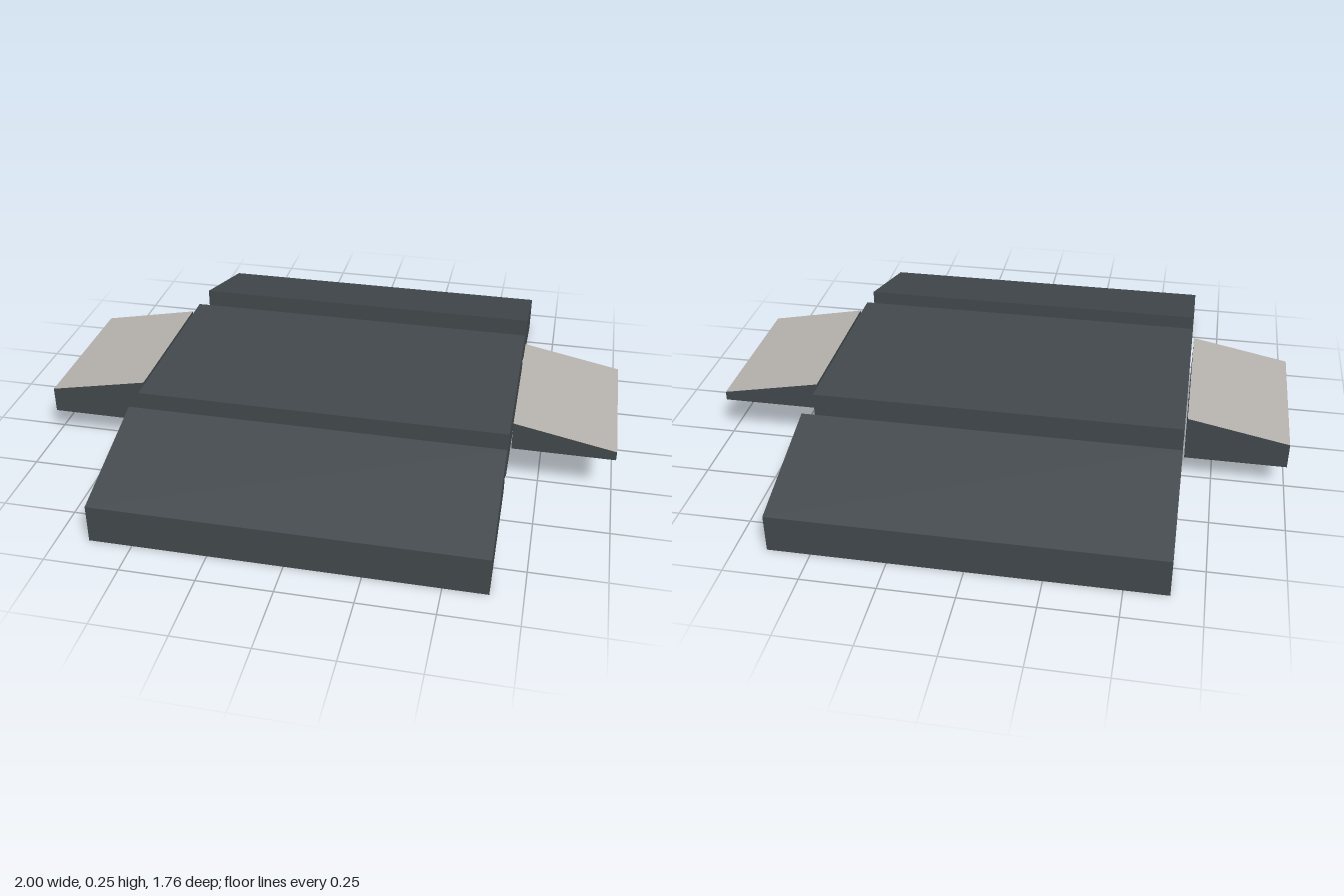
import * as THREE from 'three';

const material = (name, color) => {
  const m = new THREE.MeshStandardMaterial({ color, side: THREE.DoubleSide });
  m.name = name;
  return m;
};

// Open-bottomed, thin-walled cover. top and bottom give the height at (x, z).
// Materials are ordered by face: +x, -x, top, +z, -z.
function cover(name, [x0, x1], [z0, z1], bottom, top, materials) {
  const geo = new THREE.BoxGeometry(x1 - x0, 1, z1 - z0);
  geo.translate((x0 + x1) / 2, 0, (z0 + z1) / 2);
  const p = geo.attributes.position;
  for (let i = 0; i < p.count; i++) {
    const height = p.getY(i) > 0 ? top : bottom;
    p.setY(i, height(p.getX(i), p.getZ(i)));
  }
  // Leave out the underside (the fourth face of the box)
  const index = Array.from(geo.index.array);
  index.splice(18, 6);
  geo.setIndex(index);
  geo.clearGroups();
  for (let f = 0; f < 5; f++) geo.addGroup(f * 6, 6, f);
  geo.computeVertexNormals();
  const mesh = new THREE.Mesh(geo, materials);
  mesh.name = name;
  return mesh;
}

export function createModel() {
  const model = new THREE.Group();
  model.name = 'rampPlatform';
  const slate = material('slate', 0x42484c);
  const stone = material('stone', 0xb5b2ad);
  const allSlate = Array(5).fill(slate);

  const wide = [-0.645, 0.645];
  const low = 0.083, high = 0.25;
  const { mapLinear } = THREE.MathUtils;

  // Flat middle deck
  model.add(cover('deck', wide, [-0.335, 0.365], () => low, () => high, allSlate));

  // Front and back ramps, sloping down away from the deck
  const rampBottom = (x, z) => mapLinear(Math.abs(z), 0.457, 0.88, low, 0);
  const rampTop = (x, z) => mapLinear(Math.abs(z), 0.457, 0.88, high, 0.133);
  model.add(cover('frontRamp', wide, [0.457, 0.88], rampBottom, rampTop, allSlate));
  model.add(cover('backRamp', wide, [-0.88, -0.457], rampBottom, rampTop, allSlate));

  // Side flaps: pale top and outer end, dark cheeks; the left one is shallower
  const flapTop = (x) => mapLinear(Math.abs(x), 0.652, 1, high, 0.182);
  const flapDepth = [-0.268, 0.294];
  model.add(cover('leftFlap', [0.652, 1], flapDepth, () => 0.15, flapTop,
    [stone, slate, stone, slate, slate]));
  model.add(cover('rightFlap', [-1, -0.652], flapDepth, () => 0.091, flapTop,
    [slate, stone, stone, slate, slate]));

  return model;
}
